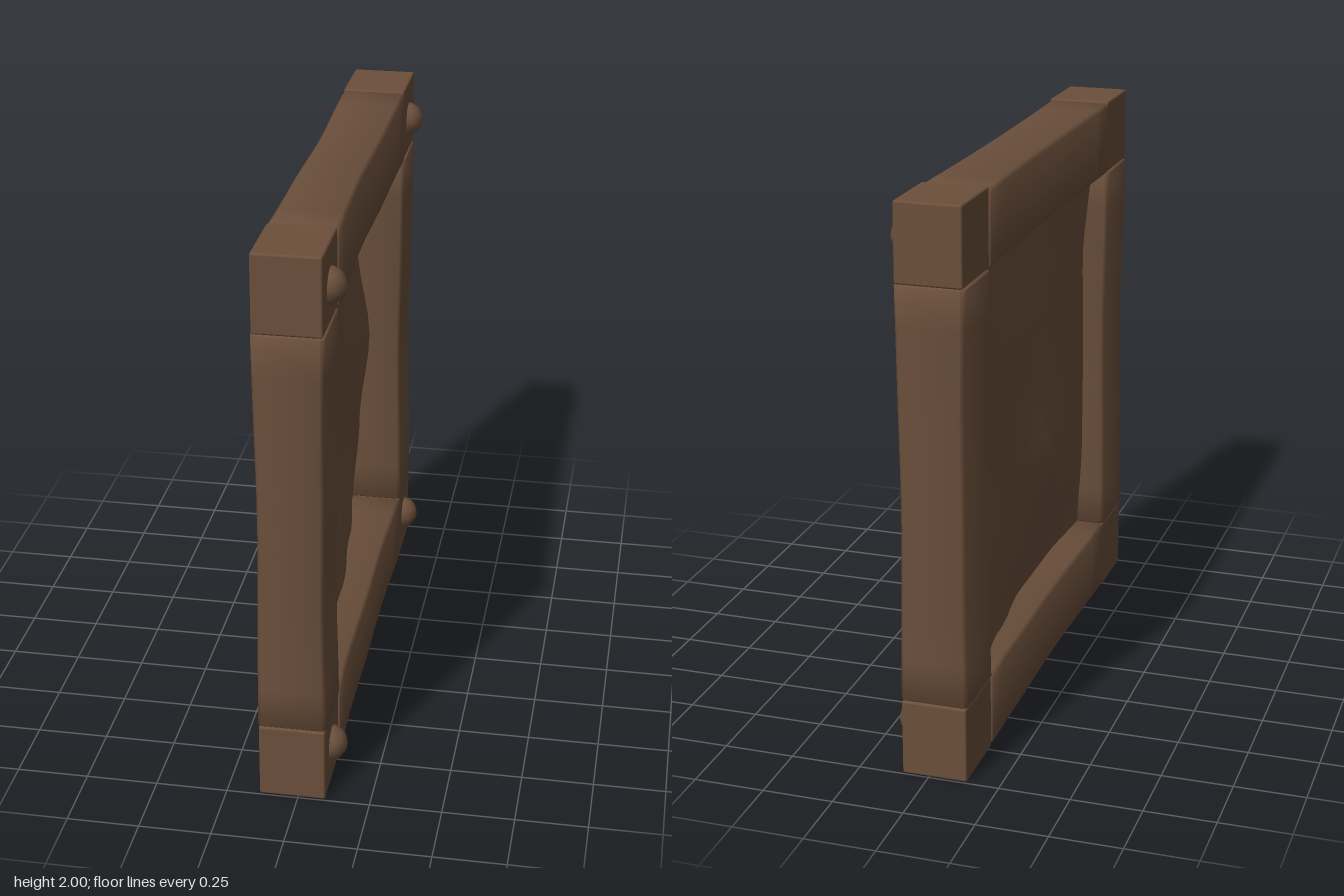
import * as THREE from 'three';
import { toCreasedNormals } from 'three/addons/utils/BufferGeometryUtils.js';
import { RoundedBoxGeometry } from 'three/addons/geometries/RoundedBoxGeometry.js';

const wood = new THREE.MeshStandardMaterial({ color: 0x6b4f3b, side: THREE.DoubleSide });
wood.name = 'brown wood';

const MID_X = -0.02, DEPTH = 0.232, WIDTH = 0.27, RAIL = 0.858;

function add(group, name, geometry, x, y, z) {
  const mesh = new THREE.Mesh(geometry, wood);
  mesh.name = name;
  mesh.position.set(x, y, z);
  group.add(mesh);
  return mesh;
}

// Beam along y with softened edges, slightly worn in towards its middle
function beamGeometry(length, seed) {
  const w = DEPTH / 2, h = WIDTH / 2, c = 0.012, b = 0.003;
  const corners = [[-w + c, -h], [w - c, -h], [w, -h + c], [w, h - c],
    [w - c, h], [-w + c, h], [-w, h - c], [-w, -h + c]];
  const shape = new THREE.Shape(corners.map(([x, y]) => new THREE.Vector2(x, y)));
  const geo = new THREE.ExtrudeGeometry(shape, {
    depth: length - 2 * b, steps: 10, bevelEnabled: true,
    bevelThickness: b, bevelSize: b, bevelOffset: -b, bevelSegments: 1,
  });
  geo.translate(0, 0, -length / 2 + b);
  geo.rotateX(-Math.PI / 2);
  const p = geo.attributes.position;
  for (let i = 0; i < p.count; i++) {
    const t = p.getY(i) / length;
    const waist = Math.cos(Math.PI * t);
    const wave = Math.sin(t * 9 + seed) * waist;
    p.setX(i, p.getX(i) * (1.025 - 0.07 * waist) + 0.003 * wave);
    p.setZ(i, p.getZ(i) * (1 - 0.012 * waist) + 0.002 * wave);
  }
  return toCreasedNormals(geo, 0.9);
}

// Sheet offsets, rows from top to bottom, columns from +z to -z
const relief = [
  [-0.07, -0.09, -0.07, -0.06, -0.10],
  [-0.04, -0.08, -0.09, -0.09, -0.08],
  [-0.045, -0.08, -0.10, -0.09, -0.03],
  [-0.045, -0.08, -0.10, -0.09, -0.07],
  [-0.03, -0.01, -0.01, -0.05, -0.10],
];

function sheetOffset(u, v) {
  const c = Math.min(3, Math.floor(u * 4)), r = Math.min(3, Math.floor(v * 4));
  const ease = (t) => t * t * (3 - 2 * t);
  const fu = ease(u * 4 - c), fv = ease(v * 4 - r);
  const row = (k) => THREE.MathUtils.lerp(relief[k][c], relief[k][c + 1], fu);
  return THREE.MathUtils.lerp(row(r), row(r + 1), fv);
}

// Uneven inner sheet with a shallow swelling at the back
function panelGeometry(size) {
  const geo = new THREE.PlaneGeometry(size, size, 18, 18);
  const p = geo.attributes.position;
  for (let i = 0; i < p.count; i++) {
    const x = p.getX(i), y = p.getY(i);
    const swell = Math.max(0, 1 - Math.hypot(x / 0.36, (y + 0.167) / 0.26));
    p.setZ(i, sheetOffset(x / size + 0.5, 0.5 - y / size) - 0.053 * swell);
  }
  geo.rotateY(Math.PI / 2);
  geo.computeVertexNormals();
  return geo;
}

export function createModel() {
  const model = new THREE.Group();
  model.name = 'framedPanel';

  add(model, 'panel', panelGeometry(1.5), 0, 1, 0);

  for (const s of [1, -1]) {
    // Upright and level beams
    add(model, 'uprightBeam', beamGeometry(1.452, s), MID_X, 1, s * RAIL);
    const level = add(model, 'levelBeam', beamGeometry(1.442, s + 2), MID_X, 1 + s * RAIL, 0);
    level.rotation.x = Math.PI / 2;

    // Corner blocks, each with a round stud
    for (const t of [1, -1]) {
      add(model, 'cornerBlock', new RoundedBoxGeometry(0.23, 0.272, 0.272, 2, 0.008),
        MID_X, 1 + t * 0.864, s * 0.86);
      add(model, 'stud', new THREE.SphereGeometry(0.063, 12, 8),
        0.088, 1 + t * 0.855, s * 0.857);
    }
  }
  return model;
}
